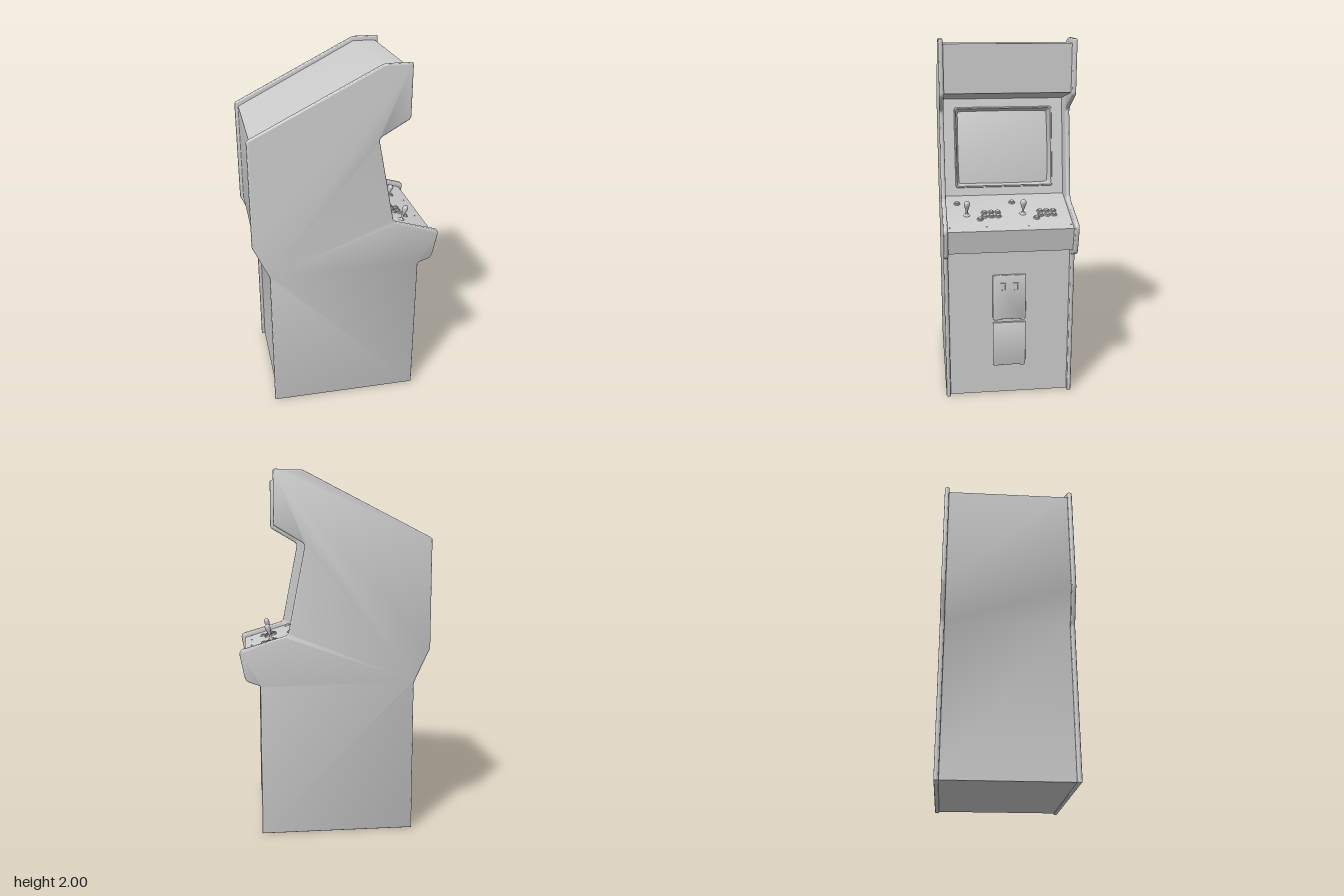
import * as THREE from 'three';
import { toCreasedNormals } from 'three/addons/utils/BufferGeometryUtils.js';

const grey = new THREE.MeshStandardMaterial({ color: 0xcccccc });
const V = (x, y) => new THREE.Vector2(x, y);

function add(parent, name, geometry) {
  const mesh = new THREE.Mesh(geometry, grey);
  mesh.name = name;
  parent.add(mesh);
  return mesh;
}

// Polygon with rounded corners; each point is [x, y, radius]
function rounded(points, Type = THREE.Shape) {
  const path = new Type();
  const n = points.length;
  points.forEach(([x, y, r = 0], i) => {
    const p = V(x, y);
    const toward = (q) => p.clone().add(V(q[0], q[1]).sub(p).setLength(r));
    const a = toward(points[(i + n - 1) % n]);
    const b = toward(points[(i + 1) % n]);
    if (i === 0) path.moveTo(a.x, a.y); else path.lineTo(a.x, a.y);
    if (r) path.quadraticCurveTo(x, y, b.x, b.y);
  });
  path.closePath();
  return path;
}

const rect = (x0, y0, x1, y1, r, Type) =>
  rounded([[x0, y0, r], [x1, y0, r], [x1, y1, r], [x0, y1, r]], Type);

function extrude(shape, depth, bevel = 0) {
  const g = new THREE.ExtrudeGeometry(shape, {
    depth: depth - 2 * bevel, curveSegments: 5,
    bevelEnabled: bevel > 0, bevelSize: bevel, bevelThickness: bevel,
    bevelOffset: -bevel, bevelSegments: 4,
  });
  g.translate(0, 0, bevel);
  return toCreasedNormals(g, 0.6);
}

// Group lying on a slope from (x0,y0) to (x1,y1): local y runs up it, local z points outward
function slope(parent, name, x0, y0, x1, y1) {
  const g = new THREE.Group();
  const X = new THREE.Vector3(0, 0, -1);
  const Y = new THREE.Vector3(x1 - x0, y1 - y0, 0).normalize();
  g.quaternion.setFromRotationMatrix(new THREE.Matrix4().makeBasis(X, Y, X.clone().cross(Y)));
  g.position.set(x0, y0, 0);
  g.name = name;
  parent.add(g);
  return g;
}

// Band joining rounded rectangles given as [halfWidth, y0, y1, z]
function rings(list) {
  const pos = [], index = [];
  let n = 0;
  for (const [w, y0, y1, z] of list) {
    const pts = rect(-w, y0, w, y1, 0.015).getPoints(4);
    n = pts.length;
    for (const p of pts) pos.push(p.x, p.y, z);
  }
  for (let k = 0; k < list.length - 1; k++)
    for (let i = 0; i < n - 1; i++) {
      const a = k * n + i, b = a + n;
      index.push(a, a + 1, b, a + 1, b + 1, b);
    }
  const g = new THREE.BufferGeometry();
  g.setAttribute('position', new THREE.Float32BufferAttribute(pos, 3));
  g.setIndex(index);
  return toCreasedNormals(g, 0.6);
}

function disc(radius, height, sides = 20) {
  return new THREE.CylinderGeometry(radius * 0.88, radius, height, sides)
    .rotateX(Math.PI / 2).translate(0, 0, height / 2);
}

export function createModel() {
  const model = new THREE.Group();
  model.name = 'arcadeCabinet';

  // Side panels with rounded edge moulding
  const side = rounded([
    [-0.44, 0], [0.41, 0], [0.41, 0.845, 0.01], [0.49, 0.872, 0.025], [0.525, 1.043, 0.03],
    [0.257, 1.122, 0.02], [0.162, 1.61, 0.02], [0.33, 1.708, 0.015], [0.33, 2, 0.01],
    [0.18, 2, 0.02], [-0.53, 1.643, 0.01], [-0.53, 1.04, 0.01], [-0.44, 0.845, 0.01],
  ]);
  for (const [name, z] of [['leftSidePanel', -0.362], ['rightSidePanel', 0.337]])
    add(model, name, extrude(side, 0.025, 0.009)).position.z = z;

  // Body between the side panels, notched behind the screen
  const body = rounded([
    [-0.42, 0.005], [0.39, 0.005], [0.39, 0.865], [0.47, 0.89], [0.495, 1.02], [0.15, 1.125],
    [0.05, 1.105], [-0.05, 1.637], [0.05, 1.66], [0.31, 1.72], [0.31, 1.975],
    [0.18, 1.975], [-0.51, 1.622], [-0.51, 1.04], [-0.42, 0.85],
  ]);
  add(model, 'cabinetBody', extrude(body, 0.68)).position.z = -0.34;

  // Screen surround, recess and curved glass
  const screen = slope(model, 'screenUnit', 0.15, 1.125, 0.05, 1.66);
  const plate = rect(-0.34, 0, 0.34, 0.544, 0);
  plate.holes.push(rect(-0.27, 0.052, 0.27, 0.49, 0.015, THREE.Path));
  add(screen, 'screenSurround', extrude(plate, 0.02)).position.z = -0.02;
  add(screen, 'screenRecess', rings([
    [0.277, 0.045, 0.497, 0], [0.274, 0.048, 0.494, 0.006], [0.268, 0.054, 0.488, 0.006],
    [0.255, 0.067, 0.475, -0.06],
  ]));
  const glass = new THREE.PlaneGeometry(0.53, 0.428, 16, 16);
  const gp = glass.attributes.position;
  for (let i = 0; i < gp.count; i++) {
    const u = gp.getX(i) / 0.265, v = gp.getY(i) / 0.214;
    gp.setZ(i, 0.025 * (1 - (u * u + v * v) / 2));
  }
  glass.computeVertexNormals();
  add(screen, 'screenGlass', glass).position.set(0, 0.271, -0.062);

  // Control panel: parts are placed by their x and z on the sloping top
  const panel = slope(model, 'controlPanel', 0.495, 1.02, 0.15, 1.125);
  const put = (name, geometry, x, z) =>
    add(panel, name, geometry).position.set(-z, (0.495 - x) / 0.957, 0);
  const rim = disc(0.018, 0.006);
  const cap = disc(0.012, 0.011);
  const button = (x, z) => { put('buttonRim', rim, x, z); put('buttonCap', cap, x, z); };
  const stick = new THREE.LatheGeometry([
    V(0.018, 0), V(0.017, 0.004), V(0.006, 0.006), V(0.006, 0.028), V(0.009, 0.04),
    V(0.014, 0.058), V(0.0165, 0.07), V(0.015, 0.08), V(0.009, 0.087), V(0, 0.089),
  ], 20).rotateX(Math.PI / 2);
  for (const z0 of [-0.08, 0.228]) {
    put('joystick', stick, 0.342, z0);
    for (const x of [0.323, 0.36])
      for (const dz of [0.17, 0.133, 0.096]) button(x, z0 - dz);
    button(0.385, z0 - 0.07);
    button(0.23, z0 + 0.048);
  }
  for (const z of [-0.327, -0.098, 0.13, 0.325]) put('screw', disc(0.004, 0.003, 8), 0.455, z);

  // Coin doors on the lower front
  const doors = slope(model, 'coinDoors', 0.39, 0, 0.39, 1);
  for (const [name, y] of [['upperCoinDoor', 0.467], ['lowerCoinDoor', 0.182]]) {
    add(doors, name, extrude(rect(-0.093, y, 0.093, y + 0.265, 0.008), 0.014, 0.003));
    for (const x of [-0.075, 0.075])
      add(doors, 'doorHinge', new THREE.BoxGeometry(0.024, 0.008, 0.014)).position.set(x, y - 0.002, 0.006);
  }
  for (const x of [-0.035, 0.035]) {
    const frame = rect(x - 0.016, 0.64, x + 0.016, 0.686, 0.002);
    frame.holes.push(rect(x - 0.011, 0.646, x + 0.011, 0.68, 0.002, THREE.Path));
    add(doors, 'coinSlotFrame', extrude(frame, 0.007)).position.z = 0.013;
    add(doors, 'coinReturn', new THREE.BoxGeometry(0.018, 0.03, 0.004)).position.set(x, 0.663, 0.015);
  }

  return model;
}
